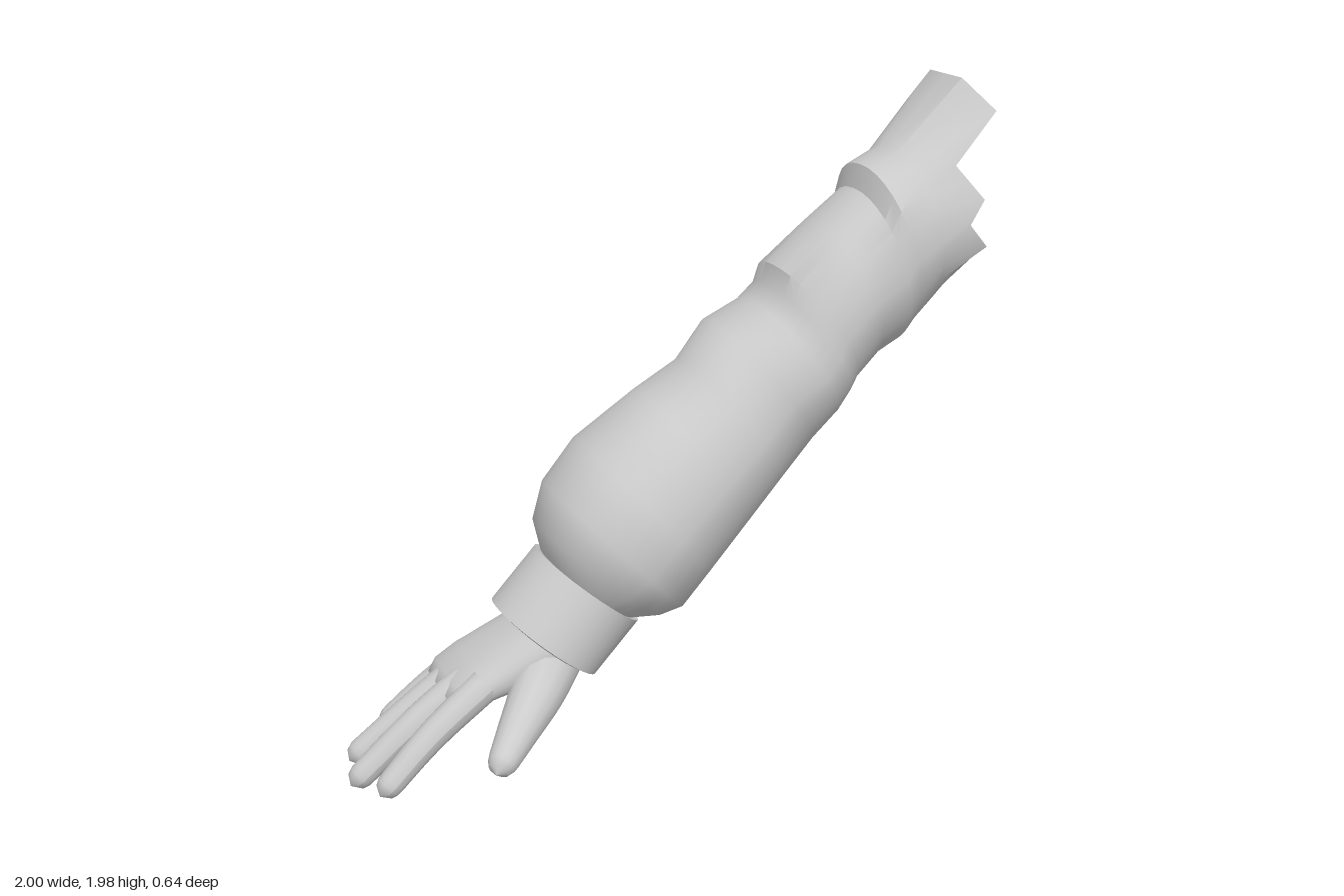
import * as THREE from 'three';
import { toCreasedNormals } from 'three/addons/utils/BufferGeometryUtils.js';

const N = 32; // points around each cross-section
const V = (x, y, z) => new THREE.Vector3(x, y, z);
const material = new THREE.MeshStandardMaterial({ color: 0xcccccc, side: THREE.DoubleSide });

// Cross-section between an upper point, a lower point and a z range;
// a power below 1 is boxier than an ellipse, above 1 more pointed
function section([ux, uy, lx, ly, zf, zb], upper, lower = upper) {
  const ring = [];
  for (let j = 0; j < N; j++) {
    const a = (j / N) * Math.PI * 2;
    const power = Math.cos(a) > 0 ? upper : lower;
    const soft = (v) => Math.sign(v) * Math.pow(Math.abs(v), power);
    const c = soft(Math.cos(a)), s = soft(Math.sin(a));
    ring.push(V(
      (ux + lx) / 2 + c * (ux - lx) / 2,
      (uy + ly) / 2 + c * (uy - ly) / 2,
      (zf + zb) / 2 + s * (zf - zb) / 2));
  }
  return ring;
}

// Skin a list of cross-sections
function loft(rings) {
  const pos = [], index = [];
  rings.forEach((r) => r.forEach((p) => pos.push(p.x, p.y, p.z)));
  for (let i = 0; i < rings.length - 1; i++) {
    for (let j = 0; j < N; j++) {
      const k = (j + 1) % N;
      const a = i * N + j, b = i * N + k, c = a + N, d = b + N;
      index.push(a, b, c, b, d, c);
    }
  }
  const g = new THREE.BufferGeometry();
  g.setAttribute('position', new THREE.Float32BufferAttribute(pos, 3));
  g.setIndex(index);
  g.computeVertexNormals();
  return g;
}

// Tapered tube with a rounded tip
function digit(points, r0, r1) {
  const segs = 24, sides = 14;
  const curve = new THREE.CatmullRomCurve3(points.map((p) => V(...p)));
  const g = new THREE.TubeGeometry(curve, segs, 1, sides);
  const p = g.attributes.position, len = curve.getLength(), v = V(0, 0, 0);
  for (let i = 0; i <= segs; i++) {
    const u = i / segs, c = curve.getPointAt(u);
    const left = Math.min(1, ((1 - u) * len) / (r1 * 1.3));
    const r = THREE.MathUtils.lerp(r0, r1, u) * Math.sqrt(1 - (1 - left) ** 2);
    for (let j = 0; j <= sides; j++) {
      const k = i * (sides + 1) + j;
      v.fromBufferAttribute(p, k).sub(c).multiplyScalar(r).add(c);
      p.setXYZ(k, v.x, v.y, v.z);
    }
  }
  g.computeVertexNormals();
  return g;
}

export function createModel() {
  const group = new THREE.Group();
  const add = (name, geometry, parent = group) => {
    const mesh = new THREE.Mesh(geometry, material);
    mesh.name = name;
    parent.add(mesh);
    return mesh;
  };

  // Puffy sleeve with a seam ridge below: upper x, y, lower x, y, front z, back z
  const sleeve = [
    [-0.38, 0.64, -0.13, 0.42, 0.17, -0.19],
    [-0.40, 0.74, -0.03, 0.415, 0.23, -0.25],
    [-0.36, 0.85, 0.04, 0.43, 0.27, -0.30],
    [-0.25, 0.97, 0.13, 0.52, 0.265, -0.32],
    [-0.06, 1.10, 0.26, 0.66, 0.235, -0.29],
    [0.08, 1.18, 0.38, 0.79, 0.21, -0.27],
    [0.17, 1.29, 0.48, 0.89, 0.20, -0.28],
    [0.30, 1.34, 0.56, 0.97, 0.205, -0.30],
    [0.345, 1.39, 0.60, 1.03, 0.20, -0.28],
    [0.36, 1.45, 0.62, 1.07, 0.20, -0.27],
    [0.50, 1.57, 0.69, 1.14, 0.19, -0.25],
    [0.62, 1.66, 0.77, 1.18, 0.19, -0.25],
    [0.64, 1.73, 0.80, 1.22, 0.20, -0.26],
    [0.74, 1.77, 0.86, 1.28, 0.20, -0.28],
  ].map((s) => section(s, 0.92, 1.2));

  // Torn, open end, from the top round by the front
  const torn = [
    [0.94, 1.975, 0.03], [0.995, 1.89, 0.14], [0.86, 1.74, 0.15], [0.94, 1.64, 0.19],
    [0.89, 1.57, 0.20], [0.95, 1.50, 0.20], [0.86, 1.43, 0.17], [0.90, 1.38, 0.08],
    [0.94, 1.335, -0.04], [0.89, 1.40, -0.21], [0.95, 1.50, -0.29], [0.89, 1.57, -0.30],
    [0.94, 1.64, -0.28], [0.87, 1.73, -0.24], [0.90, 1.88, -0.21], [0.94, 1.975, -0.15],
  ].map((p) => V(...p));
  const step = N / torn.length;
  sleeve.push(Array.from({ length: N }, (_, j) => {
    const i = Math.floor(j / step);
    return torn[i].clone().lerp(torn[(i + 1) % torn.length], (j % step) / step);
  }));
  add('sleeve', toCreasedNormals(loft(sleeve), 0.6));

  // Wrist cuff with a thick rim, closed against the sleeve
  const cuff = [
    [-0.42, 0.56, -0.22, 0.39, 0.15, -0.17],
    [-0.52, 0.485, -0.27, 0.28, 0.17, -0.19],
    [-0.54, 0.51, -0.25, 0.27, 0.19, -0.21],
    [-0.40, 0.66, -0.11, 0.42, 0.19, -0.21],
    [-0.36, 0.62, -0.15, 0.44, 0.15, -0.17],
  ].map((s) => section(s, 1));
  add('cuff', toCreasedNormals(loft(cuff), 0.7));

  // Palm, from the knuckles back into the cuff
  const hand = new THREE.Group();
  hand.name = 'hand';
  group.add(hand);
  const palm = [
    [-0.70, 0.235, -0.70, 0.235, -0.06, -0.06],
    [-0.715, 0.265, -0.675, 0.205, 0.075, -0.205],
    [-0.69, 0.30, -0.635, 0.22, 0.098, -0.228],
    [-0.63, 0.35, -0.545, 0.24, 0.105, -0.222],
    [-0.56, 0.40, -0.44, 0.26, 0.12, -0.20],
    [-0.48, 0.46, -0.33, 0.295, 0.14, -0.165],
    [-0.37, 0.54, -0.25, 0.39, 0.13, -0.14],
  ].map((s) => section(s, 0.85));
  add('palm', loft(palm), hand);

  // Fingers and thumb: path, base radius, tip radius
  const digits = {
    indexFinger: [[[-0.60, 0.30, 0.055], [-0.78, 0.172, 0.075], [-0.945, 0.027, 0.10]], 0.051, 0.038],
    middleFinger: [[[-0.60, 0.305, -0.03], [-0.80, 0.17, -0.03], [-1.0, 0.005, -0.03]], 0.051, 0.038],
    ringFinger: [[[-0.60, 0.30, -0.105], [-0.78, 0.172, -0.125], [-0.975, 0.023, -0.145]], 0.050, 0.038],
    littleFinger: [[[-0.58, 0.295, -0.17], [-0.71, 0.185, -0.217], [-0.845, 0.065, -0.25]], 0.047, 0.034],
    thumb: [[[-0.38, 0.37, 0.03], [-0.455, 0.285, 0.11], [-0.56, 0.205, 0.21], [-0.655, 0.14, 0.305]], 0.105, 0.038],
  };
  for (const [name, [path, r0, r1]] of Object.entries(digits)) add(name, digit(path, r0, r1), hand);

  // Thin spike under the little finger
  const spike = add('littleFingerSpike', new THREE.ConeGeometry(0.012, 0.17, 6), hand);
  spike.rotation.z = -Math.PI / 2;
  spike.position.set(-0.735, 0.067, -0.245);

  return group;
}
